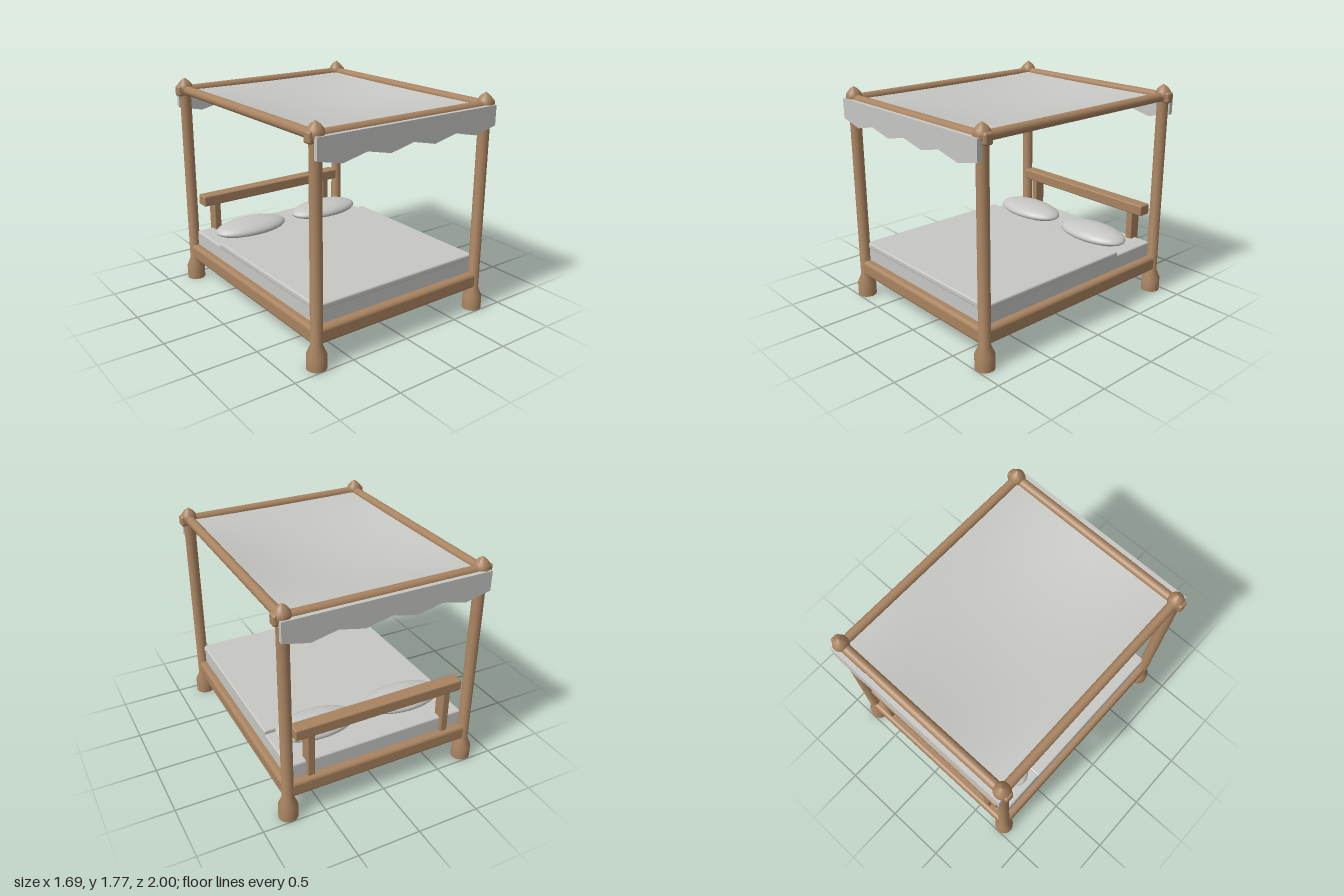
import * as THREE from 'three';
import { toCreasedNormals } from 'three/addons/utils/BufferGeometryUtils.js';
import { RoundedBoxGeometry } from 'three/addons/geometries/RoundedBoxGeometry.js';

const POST_X = 0.77, POST_Z = 0.925, RAIL_Y = 1.668;

export function createModel() {
  const bed = new THREE.Group();
  bed.name = 'canopyBed';
  const wood = new THREE.MeshStandardMaterial({ color: 0xa88360 });
  wood.name = 'wood';
  const fabric = new THREE.MeshStandardMaterial({ color: 0xc6c6c3 });
  fabric.name = 'fabric';
  const canopyFabric = new THREE.MeshStandardMaterial({ color: 0xc6c6c3, side: THREE.DoubleSide });
  canopyFabric.name = 'canopyFabric';

  const add = (name, geometry, material, x = 0, y = 0, z = 0) => {
    const mesh = new THREE.Mesh(geometry, material);
    mesh.name = name;
    mesh.position.set(x, y, z);
    bed.add(mesh);
    return mesh;
  };
  // Soft-edged block given by its lower and upper limits
  const block = (name, material, [x0, x1], [y0, y1], [z0, z1], radius) =>
    add(name, new RoundedBoxGeometry(x1 - x0, y1 - y0, z1 - z0, 3, radius), material,
      (x0 + x1) / 2, (y0 + y1) / 2, (z0 + z1) / 2);
  const turned = (points) => toCreasedNormals(
    new THREE.LatheGeometry(points.map(([r, y]) => new THREE.Vector2(r, y)), 24), 0.5);

  // Corner posts with flared feet, pointed finials and rail end blocks
  const post = turned([[0, 0], [0.075, 0], [0.075, 0.11], [0.045, 0.18], [0.045, 1.64]]);
  const finial = turned([[0.045, 1.63], [0.06, 1.655], [0.064, 1.685], [0.056, 1.715],
    [0.034, 1.742], [0, 1.767]]);
  for (const sx of [-1, 1]) {
    for (const sz of [-1, 1]) {
      add('post', post, wood, sx * POST_X, 0, sz * POST_Z);
      add('finial', finial, wood, sx * POST_X, 0, sz * POST_Z);
      add('railEnd', new RoundedBoxGeometry(0.11, 0.088, 0.075, 3, 0.02), wood,
        sx * 0.79, 1.665, sz * POST_Z);
    }
  }

  // Round top rails
  const longRail = new THREE.CylinderGeometry(0.037, 0.037, 2 * POST_Z, 20).rotateX(Math.PI / 2);
  const crossRail = new THREE.CylinderGeometry(0.037, 0.037, 2 * POST_X, 20).rotateZ(Math.PI / 2);
  for (const s of [-1, 1]) {
    add('sideTopRail', longRail, wood, s * POST_X, RAIL_Y, 0);
    add('crossTopRail', crossRail, wood, 0, RAIL_Y, s * POST_Z);
  }

  // Bed base, mattress and blanket
  block('bedBase', wood, [-0.807, 0.807], [0.185, 0.312], [-0.962, 0.962], 0.03);
  block('mattress', fabric, [-0.75, 0.75], [0.29, 0.432], [-0.9, 0.9], 0.015);
  block('blanket', fabric, [-0.757, 0.757], [0.417, 0.465], [-0.487, 0.907], 0.014);

  // Headboard on two short legs
  block('headboardPanel', wood, [-0.7, 0.7], [0.66, 0.75], [-0.935, -0.825], 0.012);
  for (const s of [-1, 1]) {
    block('headboardLeg', wood, s < 0 ? [-0.606, -0.546] : [0.546, 0.606],
      [0.3, 0.67], [-0.93, -0.83], 0.01);
  }

  // Pillows: ellipsoids, fuller above than below
  const pillow = new THREE.SphereGeometry(1, 32, 20);
  const pp = pillow.attributes.position;
  for (let i = 0; i < pp.count; i++) {
    const y = pp.getY(i);
    pp.setXYZ(i, pp.getX(i) * 0.327, y * (y > 0 ? 0.075 : 0.056), pp.getZ(i) * 0.175);
  }
  pillow.computeVertexNormals();
  for (const s of [-1, 1]) add('pillow', pillow, fabric, s * 0.382, 0.486, -0.6);

  // Sagging canopy sheet
  const sheet = new THREE.PlaneGeometry(2 * POST_X, 2 * POST_Z, 12, 12).rotateX(-Math.PI / 2);
  const sp = sheet.attributes.position;
  for (let i = 0; i < sp.count; i++) {
    const u = sp.getX(i) / POST_X, v = sp.getZ(i) / POST_Z;
    sp.setY(i, 1.67 - 0.088 * (1 - u * u) * (1 - v * v));
  }
  sheet.computeVertexNormals();
  add('canopySheet', sheet, canopyFabric);

  // Zigzag valances at both ends
  const outline = new THREE.Shape();
  outline.moveTo(0.81, 1.675);
  outline.lineTo(-0.81, 1.675);
  for (let i = 0; i <= 8; i++) outline.lineTo(-0.81 + i * 0.2025, i % 2 ? 1.475 : 1.52);
  const valance = new THREE.ExtrudeGeometry(outline, { depth: 0.035, bevelEnabled: false });
  add('frontValance', valance, fabric, 0, 0, 0.965);
  add('backValance', valance, fabric, 0, 0, -1);

  return bed;
}
